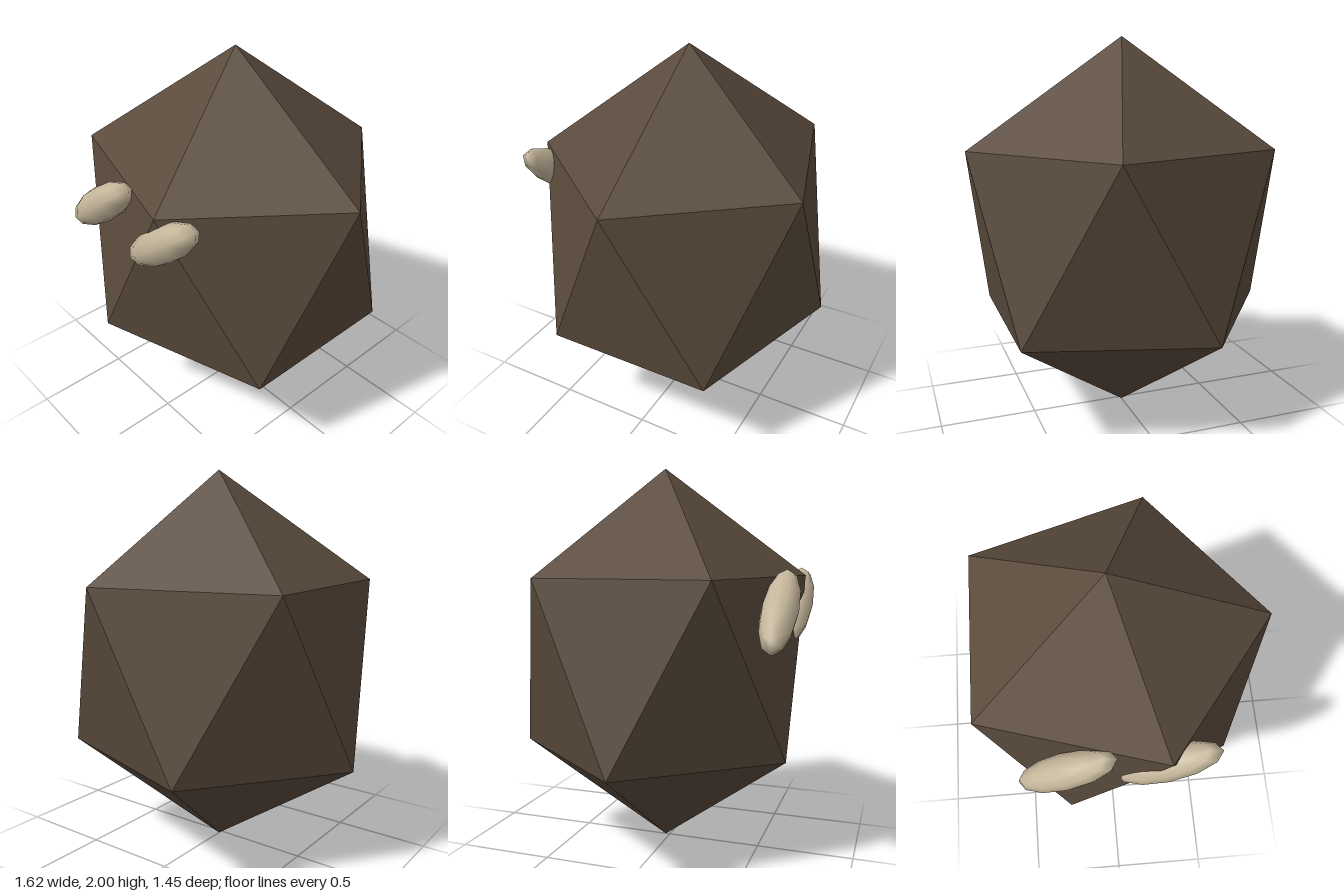
import * as THREE from 'three';
import { ConvexGeometry } from 'three/addons/geometries/ConvexGeometry.js';

export function createModel() {
  const model = new THREE.Group();

  // Faceted body: an icosahedron standing on one point, stretched upward
  const points = [new THREE.Vector3(0, 1, 0), new THREE.Vector3(0, -1, 0)];
  const ringY = 1 / Math.sqrt(5), ringR = 2 / Math.sqrt(5);
  for (let i = 0; i < 5; i++) {
    const a = (i * Math.PI * 2) / 5;
    const p = new THREE.Vector3(ringR * Math.cos(a), ringY, ringR * Math.sin(a));
    points.push(p, p.clone().negate());
  }
  const body = new THREE.Mesh(
    new ConvexGeometry(points).scale(0.905, 0.998, 0.829),
    new THREE.MeshStandardMaterial({ color: 0x5a4a3c, flatShading: true })
  );
  body.name = 'body';
  body.position.set(0, 1.003, -0.023);
  model.add(body);

  // Two slanted, smooth pods on the front
  const podMaterial = new THREE.MeshStandardMaterial({ color: 0xc4b59a });
  const podGeometry = new THREE.SphereGeometry(1, 12, 6).scale(0.3, 0.09, 0.09);
  for (const [name, x] of [['leftPod', 0.24], ['rightPod', -0.24]]) {
    const pod = new THREE.Mesh(podGeometry, podMaterial);
    pod.name = name;
    pod.position.set(x, 1.295, 0.635);
    pod.rotation.z = 0.64;
    model.add(pod);
  }
  return model;
}
